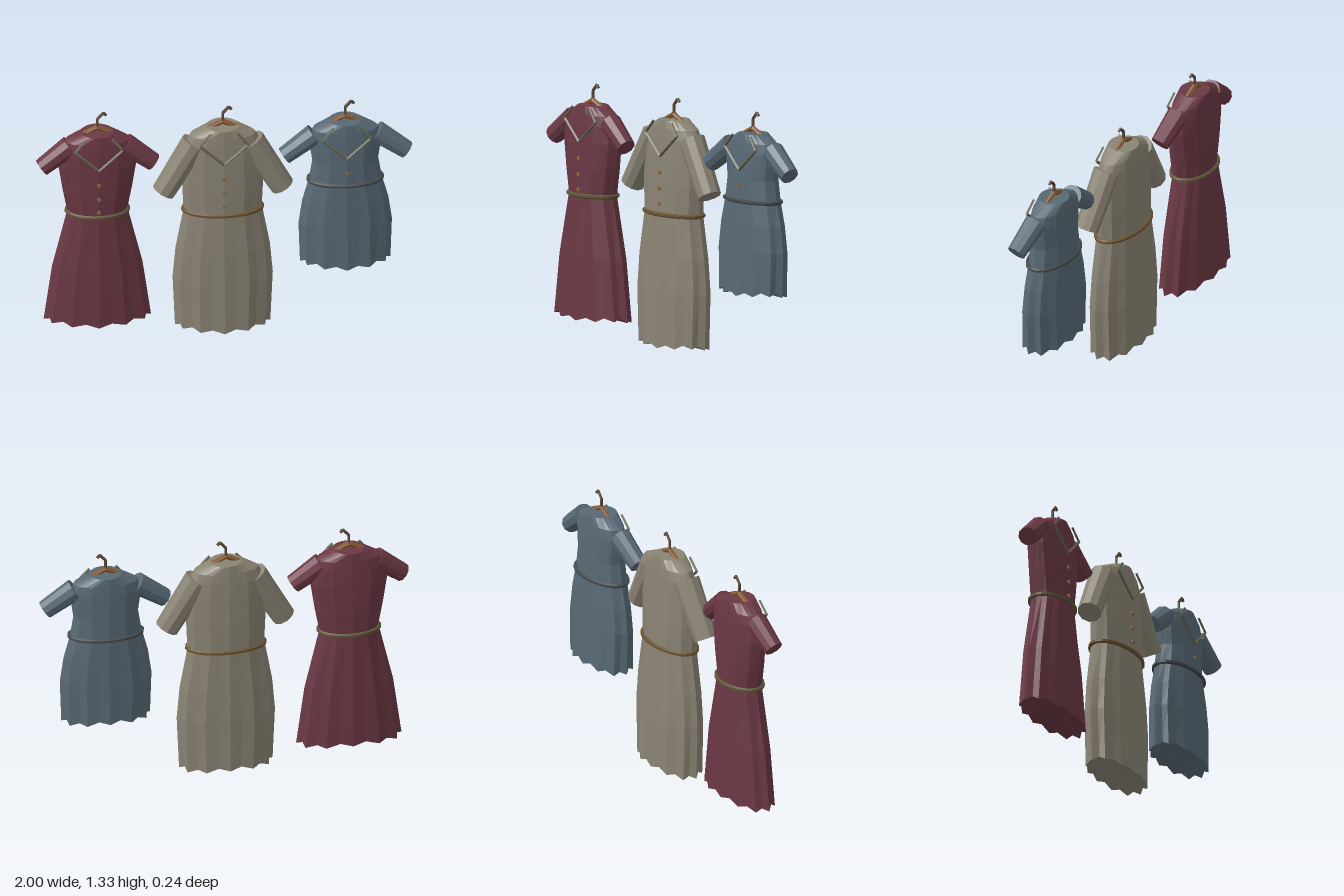
import * as THREE from 'three';

const mat = (name, color) => {
  const m = new THREE.MeshStandardMaterial({ color });
  m.name = name;
  m.flatShading = true;
  return m;
};
const V = (x, y, z) => new THREE.Vector3(x, y, z);

function mesh(name, geometry, material) {
  const m = new THREE.Mesh(geometry, material);
  m.name = name;
  return m;
}

// Tapered rod between two points
function rod(name, a, b, r0, r1, sides, material) {
  const dir = b.clone().sub(a);
  const m = mesh(name, new THREE.CylinderGeometry(r1, r0, dir.length(), sides), material);
  m.position.copy(a).add(b).multiplyScalar(0.5);
  m.quaternion.setFromUnitVectors(V(0, 1, 0), dir.normalize());
  return m;
}

// Closed pleated body; rows run from hem to neck as [y, halfWidth, halfDepth, pleatDepth]
function pleatedBody(rows) {
  const n = 24, pos = [], index = [];
  rows.forEach(([y, rx, rz, pleat], row) => {
    for (let i = 0; i < n; i++) {
      const a = (i / n) * Math.PI * 2;
      const inward = i % 2;
      const r = 1 - pleat * inward;
      const wave = row === 0 ? 0.018 * inward + 0.006 * Math.sin(a * 3) : 0;
      pos.push(rx * r * Math.cos(a), y + wave, rz * r * Math.sin(a));
    }
  });
  for (let j = 0; j < rows.length - 1; j++) {
    for (let i = 0; i < n; i++) {
      const a = j * n + i, b = j * n + (i + 1) % n;
      index.push(a, a + n, b, b, a + n, b + n);
    }
  }
  // Hem and neck caps
  const last = (rows.length - 1) * n, c = rows.length * n;
  pos.push(0, rows[0][0] + 0.015, 0, 0, rows[rows.length - 1][0], 0);
  for (let i = 0; i < n; i++) {
    const k = (i + 1) % n;
    index.push(c, i, k, c + 1, last + k, last + i);
  }
  const g = new THREE.BufferGeometry();
  g.setAttribute('position', new THREE.Float32BufferAttribute(pos, 3));
  g.setIndex(index);
  const flat = g.toNonIndexed();
  flat.computeVertexNormals();
  return flat;
}

// Elliptical belt around the waist
class BeltCurve extends THREE.Curve {
  constructor(rx, rz) { super(); this.rx = rx; this.rz = rz; }
  getPoint(t, target = V(0, 0, 0)) {
    const a = t * Math.PI * 2;
    return target.set(this.rx * Math.cos(a), 0, this.rz * Math.sin(a));
  }
}

function hanger(wood, metal) {
  const g = new THREE.Group();
  g.name = 'hanger';
  for (const s of [-1, 1]) {
    g.add(rod('hangerArm', V(0, 1.235, 0), V(s * 0.165, 1.155, 0), 0.014, 0.012, 6, wood));
  }
  const pts = [V(0, 1.23, 0), V(0, 1.285, 0), V(0.032, 1.32, 0), V(0.046, 1.305, 0)];
  for (let i = 0; i < 3; i++) {
    g.add(rod('hangerHook', pts[i], pts[i + 1], 0.008, 0.008, 6, metal));
  }
  return g;
}

function dress(spec, shared) {
  const g = new THREE.Group();
  g.name = spec.name;
  g.position.x = spec.x;
  g.add(mesh('dressBody', pleatedBody(spec.rows), spec.cloth));

  const belt = mesh('belt', new THREE.TubeGeometry(new BeltCurve(...spec.beltSize), 32, 0.012, 6, true), spec.belt);
  belt.position.y = spec.beltY;
  g.add(belt);

  for (const s of [-1, 1]) {
    const [x0, y0, r0, x1, y1, r1] = spec.sleeve;
    g.add(rod('sleeve', V(s * x0, y0, 0.004), V(s * x1, y1, 0.02), r0, r1, 10, spec.cloth));
    // Collar trim: short upper piece and long lower piece of the V
    const corner = V(s * 0.127, 1.135, 0.088);
    g.add(rod('collarTrim', V(s * 0.072, 1.2, 0.079), corner, 0.008, 0.008, 4, shared.trim));
    g.add(rod('collarTrim', corner, V(0, 1.02, 0.096), 0.008, 0.008, 4, shared.trim));
  }

  for (const [y, z] of spec.buttons) {
    const b = mesh('button', new THREE.CylinderGeometry(0.011, 0.011, 0.012, 8), shared.brass);
    b.rotation.x = Math.PI / 2;
    b.position.set(0, y, z);
    g.add(b);
  }
  g.add(hanger(shared.wood, shared.metal));
  return g;
}

export function createModel() {
  const shared = {
    trim: mat('oliveTrim', 0x66664f),
    brass: mat('brass', 0x8a6a40),
    wood: mat('hangerWood', 0x8a5c34),
    metal: mat('hookMetal', 0x5c4a38),
  };
  // Shoulder and neck rows common to all dresses
  const top = [[1.165, 0.175, 0.085, 0.02], [1.21, 0.085, 0.08, 0]];

  const specs = [
    {
      name: 'maroonDress', x: -0.672, cloth: mat('maroonCloth', 0x6b3844), belt: mat('oliveBelt', 0x5e5438),
      rows: [[0.075, 0.285, 0.12, 0.07], [0.4, 0.24, 0.113, 0.06], [0.735, 0.16, 0.098, 0.04],
        [0.87, 0.185, 0.099, 0.03], [1.02, 0.208, 0.094, 0.03], [1.11, 0.2, 0.09, 0.02], ...top],
      beltY: 0.735, beltSize: [0.163, 0.1],
      sleeve: [0.145, 1.13, 0.06, 0.297, 1.016, 0.05],
      buttons: [[0.933, 0.098], [0.848, 0.1], [0.767, 0.1]],
    },
    {
      name: 'greyDress', x: -0.007, cloth: mat('greigeCloth', 0x8a8474), belt: mat('brownBelt', 0x6c5230),
      rows: [[0.002, 0.253, 0.12, 0.07], [0.3, 0.266, 0.118, 0.06], [0.48, 0.25, 0.112, 0.05], [0.71, 0.208, 0.102, 0.04],
        [0.87, 0.215, 0.1, 0.03], [1.02, 0.212, 0.095, 0.03], [1.11, 0.205, 0.09, 0.02], ...top],
      beltY: 0.71, beltSize: [0.21, 0.103],
      sleeve: [0.15, 1.115, 0.072, 0.316, 0.832, 0.064],
      buttons: [[0.933, 0.098], [0.848, 0.1], [0.767, 0.101]],
    },
    {
      name: 'blueDress', x: 0.643, cloth: mat('blueCloth', 0x586975), belt: mat('slateBelt', 0x444a4c),
      rows: [[0.355, 0.24, 0.12, 0.07], [0.59, 0.248, 0.113, 0.06], [0.73, 0.228, 0.107, 0.05], [0.855, 0.194, 0.1, 0.04],
        [0.97, 0.175, 0.097, 0.03], [1.04, 0.185, 0.094, 0.03], [1.11, 0.19, 0.09, 0.02], ...top],
      beltY: 0.855, beltSize: [0.196, 0.101],
      sleeve: [0.165, 1.13, 0.06, 0.325, 1.016, 0.05],
      buttons: [[0.933, 0.099]],
    },
  ];

  const group = new THREE.Group();
  group.name = 'hangingDresses';
  specs.forEach((s) => group.add(dress(s, shared)));
  return group;
}
